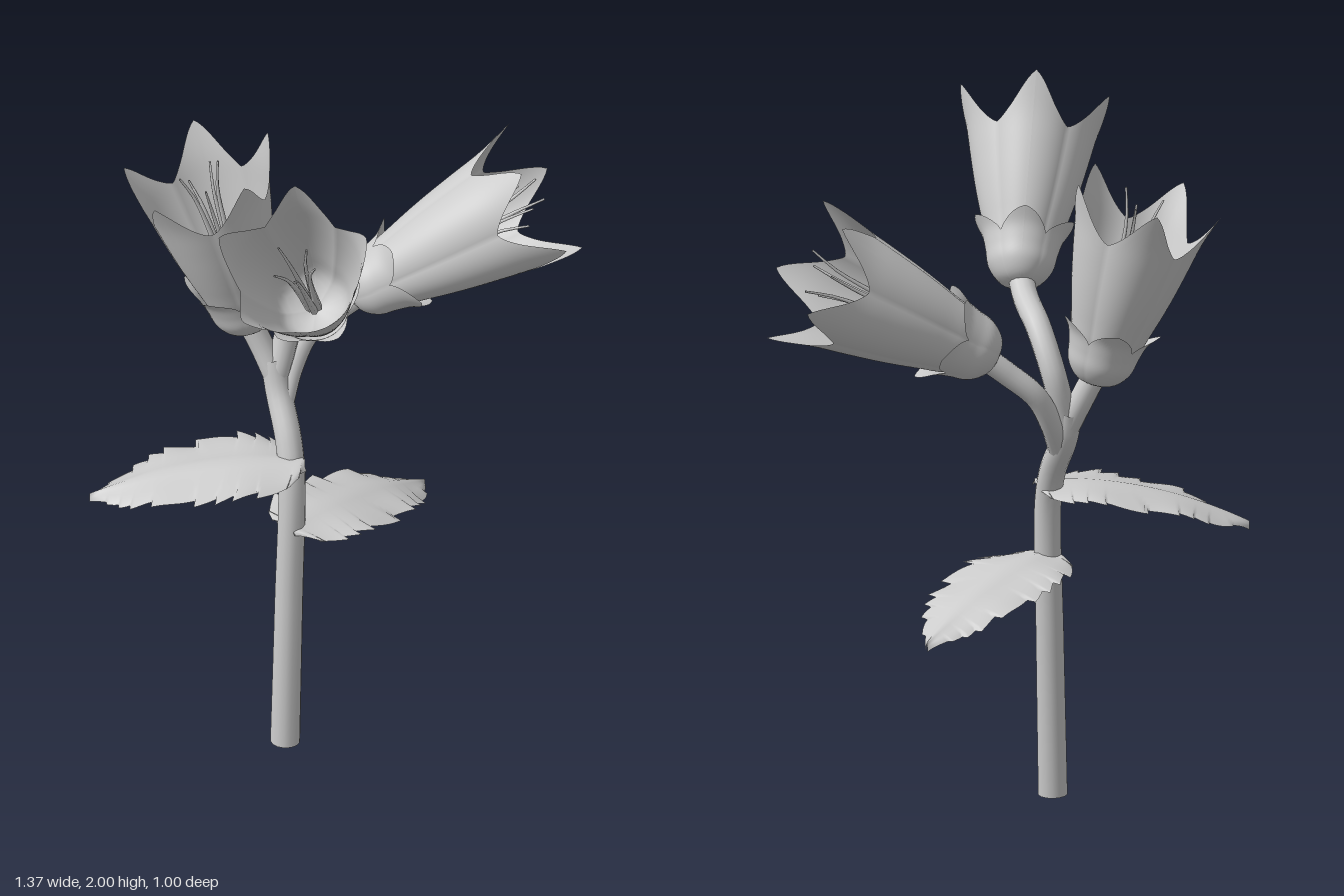
import * as THREE from 'three';

const grey = new THREE.MeshStandardMaterial({ color: 0xcccccc, side: THREE.DoubleSide });
const V = (x, y, z) => new THREE.Vector3(x, y, z);

function add(parent, geometry, name) {
  const mesh = new THREE.Mesh(geometry, grey);
  mesh.name = name;
  parent.add(mesh);
  return mesh;
}

// Grid surface: point(u, v) with u and v from 0 to 1
function surface(nu, nv, point) {
  const pos = [], index = [];
  for (let i = 0; i <= nu; i++) {
    for (let j = 0; j <= nv; j++) {
      pos.push(...point(i / nu, j / nv).toArray());
      if (i < nu && j < nv) {
        const a = i * (nv + 1) + j, b = a + nv + 1;
        index.push(a, a + 1, b, b, a + 1, b + 1);
      }
    }
  }
  const g = new THREE.BufferGeometry();
  g.setAttribute('position', new THREE.Float32BufferAttribute(pos, 3));
  g.setIndex(index);
  g.computeVertexNormals();
  return g;
}

// Tube along a path, tapering from r0 to r1
function stalk(points, r0, r1, segments = 24, sides = 14) {
  const curve = new THREE.CatmullRomCurve3(points);
  const g = new THREE.TubeGeometry(curve, segments, r0, sides);
  const p = g.attributes.position, v = V();
  for (let i = 0; i < p.count; i++) {
    const t = Math.floor(i / (sides + 1)) / segments;
    const c = curve.getPointAt(t);
    v.fromBufferAttribute(p, i).sub(c).multiplyScalar(1 + (r1 / r0 - 1) * t).add(c);
    p.setXYZ(i, v.x, v.y, v.z);
  }
  return g;
}

// Five-lobed cup: a [radius, height] profile, cut back to `notch` between lobes
function lobedCup(profile, notch, sharpness, flatten) {
  const curve = new THREE.SplineCurve(profile.map(([r, h]) => new THREE.Vector2(r, h)));
  return surface(120, 20, (u, v) => {
    const s = Math.abs(((u * 5 + 0.5) % 1) * 2 - 1); // 0 at lobe middle, 1 at notch
    const p = curve.getPoint(v * (notch + (1 - notch) * Math.pow(1 - s, sharpness)));
    const r = p.x * (1 - flatten * s * s), a = u * Math.PI * 2;
    return V(r * Math.cos(a), p.y, r * Math.sin(a));
  });
}

// Flower from the calyx centre to the middle of its mouth; `tip` sets one petal's direction
function flower(name, base, mouth, tip) {
  const group = new THREE.Group();
  group.name = name;
  const axis = mouth.clone().sub(base), L = axis.length();
  axis.normalize();
  const side = tip.clone().sub(mouth);
  side.addScaledVector(axis, -side.dot(axis)).normalize();
  group.quaternion.setFromRotationMatrix(
    new THREE.Matrix4().makeBasis(side, axis, side.clone().cross(axis)));
  group.position.copy(base);

  // Petals joined into a bell
  add(group, lobedCup([[0.01, -0.03], [0.085, 0.01], [0.116, 0.2 * L], [0.142, 0.4 * L],
    [0.163, 0.6 * L], [0.183, 0.8 * L], [0.214, L]], 0.77, 1.45, 0.06), 'petalBell');

  // Round calyx with broad sepals
  add(group, lobedCup([[0.001, -0.094], [0.056, -0.078], [0.089, -0.038], [0.1, 0.01],
    [0.114, 0.055], [0.142, 0.092]], 0.72, 0.75, 0.03), 'calyx');

  // Slender stamens gathered round the axis
  for (let i = 0; i < 5; i++) {
    const a = i * 1.257 + 0.5, h = L * (0.84 + 0.04 * ((i * 2) % 5));
    const at = (r, y) => V(r * Math.cos(a), y, r * Math.sin(a));
    add(group, stalk([at(0.012, 0), at(0.022, h * 0.5), at(0.036, h * 0.82), at(0.06, h)],
      0.012, 0.003, 12, 6), 'stamen');
  }
  return group;
}

// Toothed, drooping leaf from base towards tip
function leaf(name, base, tip) {
  const dx = tip.x - base.x, dz = tip.z - base.z, L = Math.hypot(dx, dz);
  const outline = new THREE.SplineCurve([[-0.08, 0.03], [-0.03, 0.105], [0.12, 0.155], [0.32, 0.172],
    [0.55, 0.152], [0.74, 0.118], [0.89, 0.06], [1, 0.003]].map(p => new THREE.Vector2(...p)));
  const g = surface(120, 12, (u, v) => {
    const p = outline.getPoint(u), k = v * 2 - 1, e = Math.abs(k);
    const tooth = (u * 11 + 0.35 * Math.sin(u * 17 + k) + (k > 0 ? 0.4 : 0)) % 1;
    const w = p.y * (1 - 0.2 * (1 - tooth) * e * e);
    const y = (tip.y - base.y) * Math.pow(Math.max(p.x, 0), 2.1)
      - 0.018 * e * e + 0.008 * Math.exp(-k * k * 30) + 0.005 * Math.sin(u * 22) * e;
    return V(p.x * L + 0.02 * tooth * e * e * (1 - u), y, w * k);
  });
  const mesh = add(new THREE.Group(), g, name);
  mesh.position.copy(base);
  mesh.rotation.y = -Math.atan2(dz, dx);
  return mesh;
}

export function createModel() {
  const model = new THREE.Group();
  model.name = 'flowerStem';

  // Main stem with a closed foot
  add(model, stalk([V(-0.165, 0, -0.05), V(-0.152, 0.45, -0.072), V(-0.14, 0.85, -0.1),
    V(-0.145, 0.95, -0.135), V(-0.162, 1.06, -0.205), V(-0.172, 1.15, -0.232)],
    0.041, 0.036, 40), 'stem');
  const foot = add(model, new THREE.CircleGeometry(0.041, 14), 'stemFoot');
  foot.rotation.x = Math.PI / 2;
  foot.position.set(-0.165, 0.002, -0.05);

  // Branches to each flower
  add(model, stalk([V(-0.15, 1.03, -0.19), V(-0.12, 1.11, -0.235), V(-0.07, 1.205, -0.262),
    V(0.01, 1.275, -0.26), V(0.1, 1.345, -0.255)], 0.03, 0.034), 'leftBranch');
  add(model, stalk([V(-0.168, 1.1, -0.22), V(-0.2, 1.18, -0.245), V(-0.24, 1.27, -0.265)],
    0.034, 0.034), 'rightBranch');
  add(model, stalk([V(-0.165, 1.1, -0.22), V(-0.125, 1.26, -0.23), V(-0.1, 1.37, -0.16),
    V(-0.088, 1.425, -0.05), V(-0.09, 1.48, 0.03)], 0.034, 0.036), 'frontBranch');

  // Flowers
  model.add(flower('leftFlower', V(0.12, 1.365, -0.255), V(0.58, 1.61, -0.255), V(0.68, 1.42, -0.25)));
  model.add(flower('rightFlower', V(-0.255, 1.32, -0.27), V(-0.375, 1.775, -0.29), V(-0.555, 1.72, -0.37)));
  model.add(flower('frontFlower', V(-0.1, 1.51, 0.05), V(-0.2, 1.865, 0.33), V(-0.17, 1.99, 0.175)));

  // Leaves
  model.add(leaf('upperLeaf', V(-0.15, 0.905, -0.085), V(-0.685, 0.775, -0.18)));
  model.add(leaf('lowerLeaf', V(-0.13, 0.7, -0.09), V(0.27, 0.565, -0.415)));
  return model;
}
